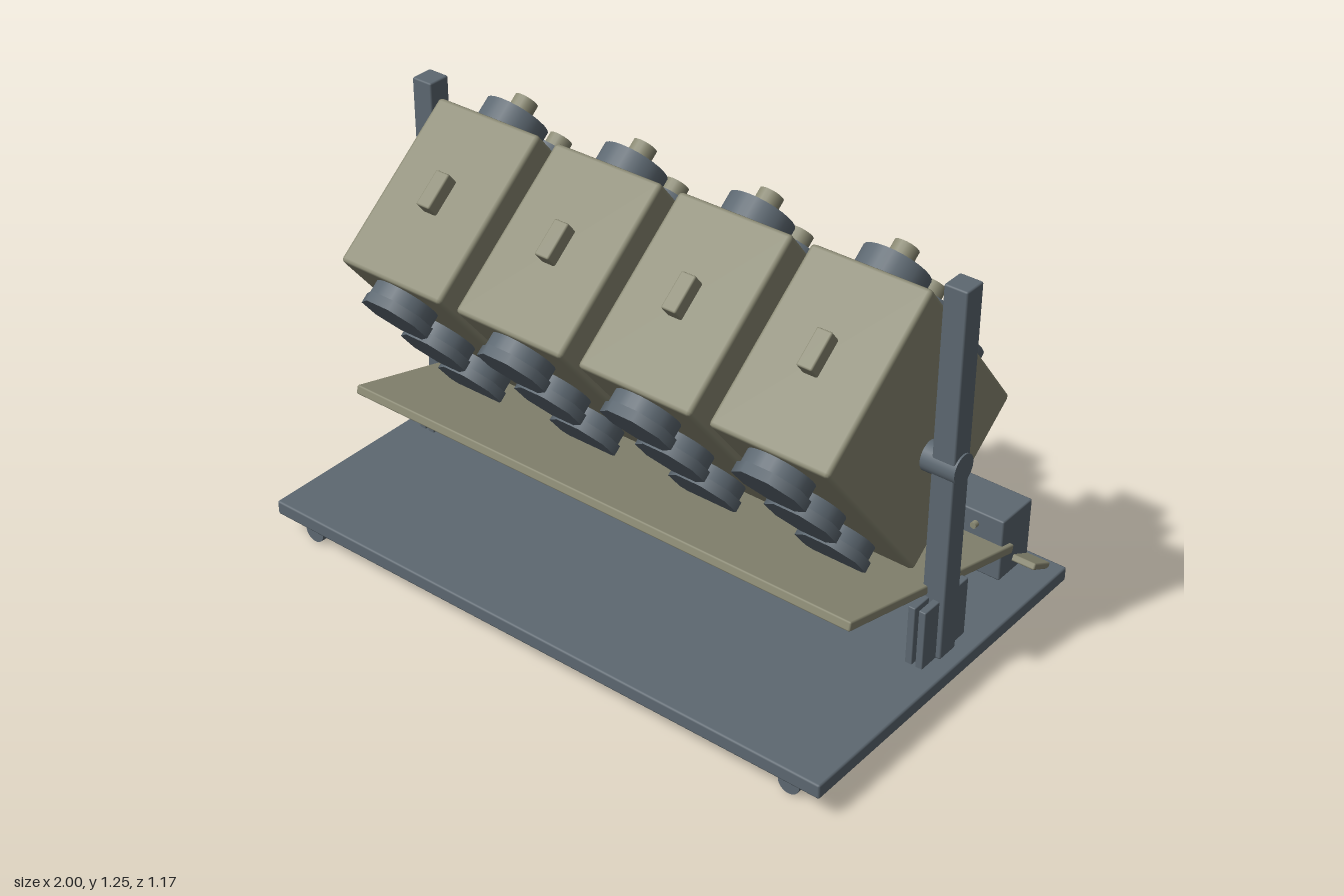
import * as THREE from 'three';
import { RoundedBoxGeometry } from 'three/addons/geometries/RoundedBoxGeometry.js';

const olive = new THREE.MeshStandardMaterial({ name: 'olive paint', color: 0x8b8a74 });
const steel = new THREE.MeshStandardMaterial({ name: 'blue grey steel', color: 0x5d6871 });

export function createModel() {
  const model = new THREE.Group();
  model.name = 'tiltingLampRack';

  const add = (parent, name, geometry, material, x, y, z) => {
    const mesh = new THREE.Mesh(geometry, material);
    mesh.name = name;
    mesh.position.set(x, y, z);
    parent.add(mesh);
    return mesh;
  };
  const box = (parent, name, material, size, pos, radius = 0.005) =>
    add(parent, name, new RoundedBoxGeometry(...size, 1, radius), material, ...pos);
  // Cylinder along the x, y or z axis
  const rod = (parent, name, material, r, length, axis, pos, sides = 24) => {
    const g = new THREE.CylinderGeometry(r, r, length, sides);
    if (axis === 'x') g.rotateZ(Math.PI / 2);
    if (axis === 'z') g.rotateX(Math.PI / 2);
    return add(parent, name, g, material, ...pos);
  };

  // Base plate on two round skids
  box(model, 'basePlate', steel, [1.94, 0.045, 1.17], [0.03, 0.0915, 0], 0.006);
  for (const x of [-0.83, 0.88]) rod(model, 'skid', steel, 0.034, 1.1, 'z', [x, 0.034, 0]);

  // Side posts, each with two foot gussets
  const middle = 0.0275, axleY = 0.715, axleZ = -0.057;
  for (const side of [-1, 1]) {
    box(model, 'post', steel, [0.07, 1.14, 0.072], [middle + side * 0.892, 0.683, axleZ]);
    for (const offset of [0.868, 0.901])
      box(model, 'gusset', steel, [0.022, 0.19, 0.203], [middle + side * offset, 0.205, -0.058], 0.003);
  }

  // Axle, hub and brake disc
  rod(model, 'axle', steel, 0.044, 1.87, 'x', [0.025, axleY, axleZ]);
  rod(model, 'hub', steel, 0.064, 0.045, 'x', [-0.828, axleY, axleZ]);
  rod(model, 'brakeDisc', steel, 0.2, 0.014, 'x', [-0.805, axleY, axleZ], 32);

  // Crank lever and hanging grip
  const lever = box(model, 'crankLever', olive, [0.036, 0.2, 0.115], [-0.943, 0.765, -0.06]);
  lever.rotation.z = 0.42;
  rod(model, 'crankGrip', steel, 0.032, 0.16, 'y', [-0.937, 0.605, -0.143]);

  // Four tilted housings with lenses in front and capped sockets behind
  for (let i = 0; i < 4; i++) {
    const unit = new THREE.Group();
    unit.name = 'lampUnit';
    unit.position.set(-0.615 + i * 0.428, 0.793, -0.023);
    unit.rotation.x = 0.672;
    model.add(unit);
    box(unit, 'housing', olive, [0.37, 0.674, 0.54], [0, 0, 0], 0.012);
    box(unit, 'topCatch', olive, [0.048, 0.05, 0.112], [0, 0.356, -0.005]);
    for (const y of [-0.227, 0, 0.227]) {
      rod(unit, 'lensCollar', steel, 0.097, 0.045, 'z', [0, y, 0.288]);
      const lens = rod(unit, 'lensRim', steel, 0.106, 0.03, 'z', [0, y, 0.325], 8);
      lens.rotation.z = Math.PI / 8;
      rod(unit, 'rearSocket', steel, 0.098, 0.065, 'z', [0, y, -0.3]);
      rod(unit, 'rearCap', olive, 0.036, 0.055, 'z', [0, y, -0.356], 16);
    }
  }

  // Sloping tray and rear deflector strip
  const tray = box(model, 'tray', olive, [1.74, 0.028, 0.816], [0.03, 0.31, -0.06]);
  tray.rotation.x = -0.259;
  const strip = box(model, 'rearStrip', olive, [1.865, 0.02, 0.095], [0.0275, 0.136, -0.517]);
  strip.rotation.x = -0.48;

  // Control box with a small knob
  box(model, 'controlBox', steel, [0.245, 0.2, 0.146], [0.765, 0.213, -0.484]);
  rod(model, 'controlKnob', olive, 0.01, 0.02, 'z', [0.8, 0.272, -0.405], 12);

  return model;
}
